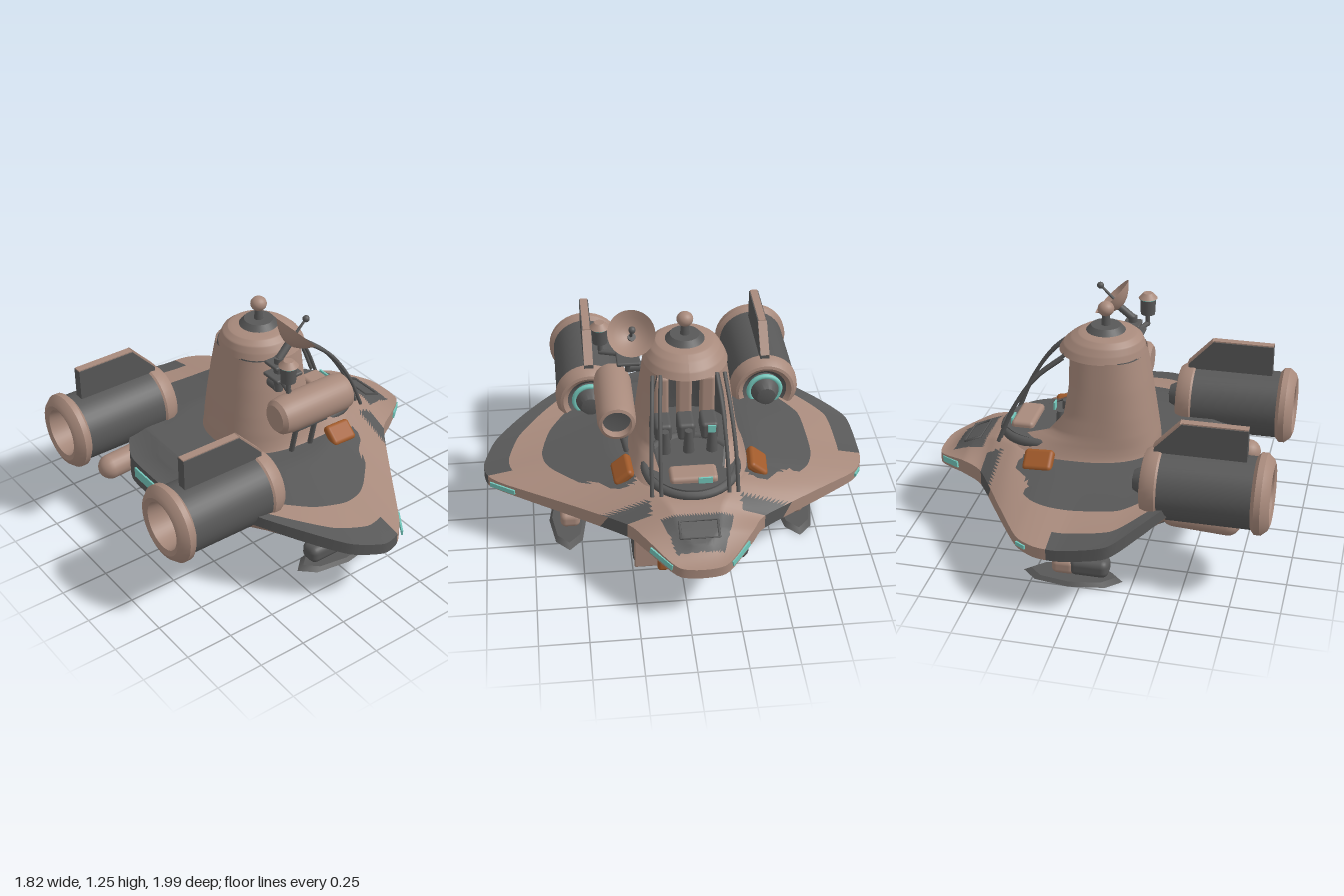
import * as THREE from 'three';
import { toCreasedNormals } from 'three/addons/utils/BufferGeometryUtils.js';
import { RoundedBoxGeometry } from 'three/addons/geometries/RoundedBoxGeometry.js';

const CZ = -0.065; // centre line of the craft
const mat = (name, color) => Object.assign(
  new THREE.MeshStandardMaterial({ color, side: THREE.DoubleSide }), { name });
const tan = mat('dusty tan', 0xa88a7c), dark = mat('dark grey', 0x585858);
const orange = mat('burnt orange', 0xa05a2a), teal = mat('teal glow', 0x74c8bc);
const V = (x, y, z) => new THREE.Vector3(x, y, z);

// Linear lookup in rows sorted by the first column; returns the whole row
function lookup(rows, t) {
  let i = 0;
  while (i < rows.length - 2 && t > rows[i + 1][0]) i++;
  const a = rows[i], b = rows[i + 1];
  const k = THREE.MathUtils.clamp((t - a[0]) / (b[0] - a[0]), 0, 1);
  return a.map((n, j) => n + (b[j] - n) * k);
}

// Grid surface from rows of points
function skin(rows) {
  const pos = [], index = [], n = rows[0].length;
  rows.forEach(r => r.forEach(p => pos.push(p.x, p.y, p.z)));
  for (let i = 0; i < rows.length - 1; i++) for (let j = 0; j < n - 1; j++) {
    const a = i * n + j, c = a + n;
    index.push(a, c, a + 1, a + 1, c, c + 1);
  }
  const g = new THREE.BufferGeometry();
  g.setAttribute('position', new THREE.Float32BufferAttribute(pos, 3));
  g.setIndex(index);
  g.computeVertexNormals();
  return g;
}

// Hull edge: x, distance from centre line, top y, bottom y
const LEFT = [[.895, .11, .345, .29], [.72, .265, .4, .325], [.6, .345, .395, .315], [.4, .63, .385, .315],
  [.185, .95, .37, .315], [.1, 1.035, .365, .305], [0, 1.055, .365, .305], [-.16, .99, .4, .335],
  [-.32, .83, .45, .385], [-.47, .63, .49, .43], [-.52, .42, .48, .36], [-.62, .27, .46, .31], [-.67, .15, .45, .31]];
const SHORT = [[.4, .66], [.265, .86], [.16, .92], [.03, .93], [-.185, .905], [-.32, .757], [-.45, .57]];
const RIGHT = LEFT.map((p, i) => i > 2 && i < 10 ? [...SHORT[i - 3], p[2], p[3]] : p);
const DECK = [[-.67, .44], [-.5, .49], [.3, .49], [.45, .505], [.57, .49], [.72, .43], [.905, .35]];

function hullGeometry() {
  const edge = [...LEFT, ...[...RIGHT].reverse().map(([x, s, a, b]) => [x, -s, a, b])];
  const n = edge.length, loop = [], at = i => edge[(i + n) % n];
  // Slightly rounded outline
  for (let i = 0; i < n; i++) for (let k = 0; k < 8; k++) {
    const t = k / 8, u = 1 - t;
    loop.push(at(i).map((a, j) => {
      const b = at(i + 1)[j], m0 = .35 * (b - at(i - 1)[j]), m1 = .35 * (at(i + 2)[j] - a);
      return a * (1 + 2 * t) * u * u + m0 * t * u * u + b * t * t * (3 - 2 * t) - m1 * t * t * u;
    }));
  }
  loop.push(loop[0]);
  const rings = [];
  for (let k = 8; k >= 0; k--) rings.push([k / 8, false]);
  for (let k = 0; k <= 24; k++) rings.push([k / 24, true]);
  const rows = rings.map(([v, top]) => loop.map(([x0, s, yt, yb]) => {
    const x = x0 + (THREE.MathUtils.clamp(x0, -.5, .72) - x0) * v;
    const f = Math.min(1, v / (top ? .62 : .4));
    return V(x, top ? yt + (lookup(DECK, x)[1] - yt) * f : yb + (.275 - yb) * f, CZ + s * (1 - v));
  }));
  const g = toCreasedNormals(skin(rows), .6);
  // Camouflage: sort faces into tan and dark
  const p = g.attributes.position, lists = [[], []], across = (loop.length - 1) * 2;
  for (let t = 0; t < p.count / 3; t++) {
    const i = t * 3, [v, top] = rings[Math.floor(t / across)];
    const x = (p.getX(i) + p.getX(i + 1) + p.getX(i + 2)) / 3;
    const s = Math.abs((p.getZ(i) + p.getZ(i + 1) + p.getZ(i + 2)) / 3 - CZ);
    const plate = x > .64 && x < .82 && s < .18 - (x - .64) * .35;
    const deck = v > .27 && x < .4 - .1 * Math.sin(s * 9) ** 2 && x > -.64;
    const rim = v < .12 && x < .1 && x > -.55;
    const tail = x < -.48 && s < .45;
    const patch = x > .52 && x < .6 && s > .23;
    const belly = (x < .1 && s < .35) || (x < 0 && s > .7) || x > .8;
    const isDark = top ? plate || deck || rim || tail || patch : v === 0 ? x < .1 || patch : belly;
    lists[isDark ? 1 : 0].push(i, i + 1, i + 2);
  }
  g.setIndex([...lists[0], ...lists[1]]);
  g.addGroup(0, lists[0].length, 0);
  g.addGroup(lists[0].length, lists[1].length, 1);
  return g;
}

// Cabin ring: y, centre x, x radius, z radius, half angle of the front opening
function cabinGeometry(levels, power, scale = 1) {
  const rows = [], round = n => Math.sign(n) * Math.abs(n) ** power;
  for (let k = 0; k <= 28; k++) {
    const t = levels[0][0] + (levels[levels.length - 1][0] - levels[0][0]) * k / 28;
    const [y, cx, rx, rz, gap] = lookup(levels, t);
    rows.push(Array.from({ length: 49 }, (_, j) => {
      const a = gap + (Math.PI * 2 - 2 * gap) * j / 48;
      return V(cx + rx * scale * round(Math.cos(a)), y, CZ + rz * scale * round(Math.sin(a)));
    }));
  }
  return skin(rows);
}
const WALL = [[.44, .17, .44, .34, .4], [.49, .15, .415, .3, .42], [.54, .1, .36, .28, .5], [.6, .04, .29, .265, .7],
  [.7, .015, .25, .25, .85], [.85, .01, .222, .23, .85], [1.0, .015, .2, .208, .75]];
const DOME = [[.995, .035, .222, .215, 0], [1.03, .028, .208, .2, 0], [1.065, .015, .182, .178, 0],
  [1.09, .01, .145, .145, 0], [1.105, .02, .05, .05, 0]];

export function createModel() {
  const root = new THREE.Group();
  root.name = 'scoutShip';
  const add = (name, geo, m, x = 0, y = 0, z = 0, parent = root) => {
    const mesh = new THREE.Mesh(geo, m);
    mesh.name = name;
    mesh.position.set(x, y, z);
    parent.add(mesh);
    return mesh;
  };
  const box = (w, h, d, r = .02) => new RoundedBoxGeometry(w, h, d, 3, r);
  const cyl = (a, b, h, n = 24) => new THREE.CylinderGeometry(a, b, h, n);
  const ball = r => new THREE.SphereGeometry(r, 20, 14);
  const rod = (name, a, b, r, m) => {
    const mesh = add(name, cyl(r, r, a.distanceTo(b), 14), m);
    mesh.position.copy(a).lerp(b, .5);
    mesh.quaternion.setFromUnitVectors(V(0, 1, 0), b.clone().sub(a).normalize());
  };
  // Profile rows are [x, radius], turned about the x axis
  const turned = (name, rows, m, x, y, z) => {
    const g = new THREE.LatheGeometry(rows.map(([h, r]) => new THREE.Vector2(r, h)), 36);
    add(name, toCreasedNormals(g.rotateZ(-Math.PI / 2), .6), m, x, y, z);
  };
  // Flat plate cut from a side outline
  const sidePlate = (name, points, depth, z) => add(name, new THREE.ExtrudeGeometry(
    new THREE.Shape(points.map(p => new THREE.Vector2(...p))), { depth, bevelEnabled: false }), dark, 0, 0, z - depth / 2);
  // Thin light on a sloping hull edge
  const edgeLight = (name, x, y, z, length, height, yaw, tilt = 0) =>
    add(name, new THREE.BoxGeometry(length, height, .009), teal, x, y, z).rotation.set(0, yaw, tilt, 'YXZ');

  // Hull
  add('hull', hullGeometry(), [tan, dark]);
  const hatch = add('noseHatchFrame', new THREE.TorusGeometry(.09, .006, 6, 4).rotateZ(Math.PI / 4), dark, .72, .437, CZ);
  hatch.rotation.set(-Math.PI / 2, .4, 0);
  hatch.scale.set(.75, 1.5, 1);
  add('rearLight', new THREE.BoxGeometry(.009, .055, .23), teal, -.683, .4, CZ);

  // Cabin shell, roof and lining
  add('cabinWall', cabinGeometry(WALL, .8), tan);
  add('cabinLining', cabinGeometry(WALL, .8, .95), dark);
  add('cabinRoof', cabinGeometry(DOME, 1), tan);
  add('roofCap', cyl(.075, .1, .028, 32), dark, .02, 1.112, CZ);
  add('roofStem', cyl(.018, .025, .07), dark, .02, 1.15, CZ);
  add('roofKnob', ball(.042), tan, .02, 1.21, CZ).scale.y = .9;

  // Cockpit tub, dashboard and seats
  add('cockpitFloor', cyl(1, 1, .1, 40), dark, .32, .5, CZ).scale.set(.24, 1, .22);
  add('cockpitRim', new THREE.TorusGeometry(.23, .025, 10, 44).rotateX(Math.PI / 2), dark, .325, .53, CZ).rotation.z = -.06;
  add('dashboard', box(.12, .05, .24), tan, .44, .555, CZ);
  add('dashScreen', new THREE.BoxGeometry(.009, .045, .07), teal, .503, .56, -.12);
  add('sideScreen', new THREE.BoxGeometry(.009, .04, .04), teal, .26, .7, -.18);
  for (const o of [-.12, 0, .12]) {
    add('seatBack', box(.05, .32, .08), tan, 0, .7, CZ + o);
    add('seatCushion', box(.14, .1, .09), dark, .08, .6, CZ + o);
    add('controlColumn', cyl(.02, .03, .13), dark, .23, .61, CZ + o);
  }
  for (const s of [-1, 1]) for (const [top, end] of [[.18, .215], [.14, .17]]) {
    const path = new THREE.CatmullRomCurve3([V(.2, 1, CZ + s * top), V(.34, .88, CZ + s * (top + .015)),
      V(.46, .7, CZ + s * (end - .005)), V(.54, .51, CZ + s * end)]);
    add('windshieldBar', new THREE.TubeGeometry(path, 24, .01, 8), dark);
  }

  for (const s of [-1, 1]) {
    const z = CZ + s * .475;
    // Engines
    turned('engineBarrel', [[-.83, .178], [-.35, .178]], dark, 0, .53, z);
    turned('engineRearRing', [[-.72, 0], [-.74, .1], [-.9, .125], [-.91, .15], [-.9, .175], [-.87, .2], [-.84, .2], [-.82, .176]], tan, 0, .53, z);
    turned('engineFrontRing', [[-.37, .178], [-.36, .185], [-.32, .182], [-.285, .16], [-.28, .145], [-.3, .12]], tan, 0, .53, z);
    turned('engineIntake', [[-.3, .122], [-.33, .09], [-.27, .07], [-.23, .05], [-.22, 0]], dark, 0, .53, z);
    add('intakeGlow', new THREE.TorusGeometry(.085, .014, 8, 32).rotateY(Math.PI / 2), teal, -.3, .53, z);
    // Engine fins with tan edging
    sidePlate('engineFin', [[-.78, .69], [-.33, .69], [-.33, .73], [-.46, .87], [-.78, .87]], .05, z);
    add('finTop', new THREE.BoxGeometry(.32, .008, .04), tan, -.62, .872, z);
    add('finFront', new THREE.BoxGeometry(.19, .008, .048), tan, -.392, .803, z).rotation.z = -.822;
    // Under-engine pods and keel fins
    add('underPod', new THREE.CapsuleGeometry(.066, .27, 8, 20).rotateZ(Math.PI / 2), tan, -.55, .29, CZ + s * .37).rotation.z = .06;
    sidePlate('keelFin', [[-.45, .2], [-.3, .12], [-.2, .3], [-.42, .33]], .03, CZ + s * .2);
    // Landing legs
    const cz = -.045, hip = V(.03, .24, cz + s * .45), ankle = V(.03, .09, cz + s * .57);
    rod('legMount', V(.02, .3, cz + s * .3), hip, .04, dark);
    add('hipBall', ball(.046), tan, hip.x, hip.y, hip.z);
    rod('legStrut', hip, ankle, .032, tan);
    rod('legKnee', V(.03, .185, cz + s * .494), V(.03, .14, cz + s * .53), .045, dark);
    add('footHousing', box(.2, .095, .11, .035), dark, -.03, .07, cz + s * .6);
    add('footToe', box(.12, .085, .105, .03), tan, .1, .065, cz + s * .6);
    add('footPlate', cyl(.85, 1, .02, 8), dark, .055, .01, cz + s * .612).scale.set(.255, 1, .1);
    // Deck lamps, nose lights and belly clips
    add('deckLamp', box(.155, .05, .115, .02), orange, .29, .497, CZ + s * .345).rotation.set(s * .7, 0, -.12);
    edgeLight('noseLight', .813, .344, CZ + s * .196, .15, .032, s * .725, -.2);
    add('bellyClip', box(.06, .1, .06, .018), orange, .535, .087, -.05 + s * .147);
  }
  edgeLight('leftTipLight', .185, .343, .896, .15, .026, .98);
  edgeLight('rightTipLight', .235, .343, -.954, .06, .02, -.55);

  // Belly box
  add('bellyBox', box(.36, .215, .6, .05), dark, .365, .155, -.05);
  add('bellyFront', box(.02, .19, .5, .009), tan, .54, .157, -.005);
  add('bellyLight', new THREE.BoxGeometry(.03, .03, .009), teal, .4, .2, -.351);
  add('bellyPlate', box(.4, .16, .46, .03), dark, .01, .2, -.05);

  // Side scope and its struts
  turned('scopeBody', [[-.15, 0], [-.15, .07], [-.13, .09], [-.08, .098], [.25, .098], [.285, .09], [.29, .075], [.25, .07]], tan, 0, .78, .3);
  turned('scopeLens', [[.25, .072], [.235, 0]], dark, 0, .78, .3);
  add('scopeCradle', box(.2, .04, .08, .012), dark, .08, .67, .28);
  for (const x of [0, .12]) rod('scopeStrut', V(x, .46, .24), V(x, .68, .29), .014, dark);

  // Sensor mast with lamp and dish
  rod('mastArm', V(-.06, .89, .12), V(-.06, .89, .21), .028, dark);
  rod('mastPost', V(-.06, .87, .21), V(-.06, 1.06, .21), .024, dark);
  add('mastPlate', box(.16, .02, .12, .008), dark, -.04, .965, .22);
  add('mastUpperPlate', box(.09, .02, .1, .008), dark, -.06, 1.02, .2);
  rod('lampArm', V(-.06, .96, .2), V(-.11, .96, .36), .014, dark);
  rod('lampPost', V(-.11, .95, .355), V(-.11, 1.04, .355), .012, dark);
  add('lampBody', cyl(.042, .038, .085), dark, -.11, 1.06, .355);
  add('lampGlow', cyl(.044, .044, .006), teal, -.11, 1.104, .355);
  add('lampCap', cyl(.025, .05, .028), tan, -.11, 1.121, .355);
  rod('dishNeck', V(-.06, 1.05, .21), V(.02, 1.12, .2), .02, dark);
  const dish = new THREE.Group();
  dish.name = 'dish';
  dish.position.set(.0, 1.11, .205);
  dish.rotation.z = -.8;
  root.add(dish);
  const bowl = [0, .03, .06, .09, .12].map(r => new THREE.Vector2(r, r * r * 5));
  add('dishBowl', new THREE.LatheGeometry(bowl, 32), tan, 0, 0, 0, dish);
  add('dishRod', cyl(.006, .009, .15, 10), dark, 0, .075, 0, dish);
  add('dishTip', ball(.018), dark, 0, .155, 0, dish);
  return root;
}
